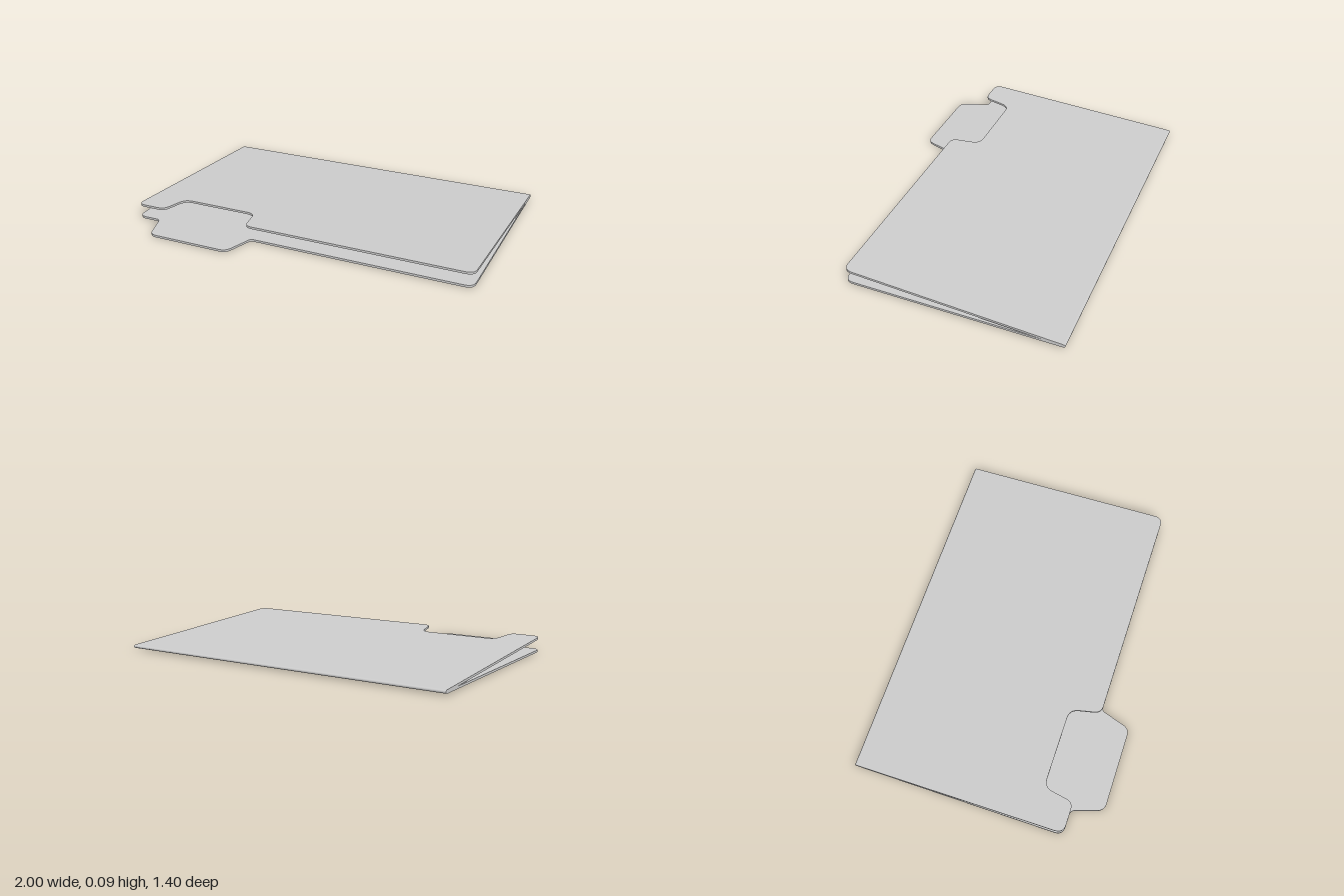
import * as THREE from 'three';

const material = new THREE.MeshStandardMaterial({ color: 0xcccccc, flatShading: true });
const THICK = 0.0125, FOLD_Z = -0.688, EDGE_Z = 0.52;

// Closed outline from [x, z, cornerRadius] points
function roundedOutline(points) {
  const shape = new THREE.Shape();
  const n = points.length;
  const v = points.map(([x, z]) => new THREE.Vector2(x, -z));
  for (let i = 0; i < n; i++) {
    const p = v[i], r = points[i][2] || 0;
    const toward = (q) => p.clone().add(q.clone().sub(p).setLength(r));
    const a = r ? toward(v[(i + n - 1) % n]) : p;
    if (i === 0) shape.moveTo(a.x, a.y);
    else shape.lineTo(a.x, a.y);
    if (r) {
      const b = toward(v[(i + 1) % n]);
      shape.quadraticCurveTo(p.x, p.y, b.x, b.y);
    }
  }
  shape.closePath();
  return shape;
}

// Card sheet whose underside rises from backY at the fold to frontY at the front edge
function sheet(name, points, backY, frontY) {
  const geo = new THREE.ExtrudeGeometry(roundedOutline(points), {
    depth: THICK, bevelEnabled: false, curveSegments: 6,
  });
  geo.rotateX(-Math.PI / 2);
  const pos = geo.attributes.position;
  for (let i = 0; i < pos.count; i++) {
    const t = (pos.getZ(i) - FOLD_Z) / (EDGE_Z - FOLD_Z);
    pos.setY(i, pos.getY(i) + backY + (frontY - backY) * t);
  }
  geo.computeVertexNormals();
  const mesh = new THREE.Mesh(geo, material);
  mesh.name = name;
  return mesh;
}

export function createModel() {
  const group = new THREE.Group();
  group.name = 'fileFolder';

  const back = [[1, FOLD_Z], [-1, FOLD_Z]];
  const left = [1, EDGE_Z, 0.05], right = [-1, EDGE_Z, 0.05];

  // Lower sheet with the projecting index tab
  group.add(sheet('lowerSheetWithTab', [
    ...back, right,
    [-0.86, EDGE_Z, 0.02], [-0.8, 0.697, 0.04],
    [-0.315, 0.697, 0.04], [-0.26, EDGE_Z, 0.02],
    left,
  ], 0.009, 0.001));

  // Raised upper sheet with the notch that reveals the tab
  group.add(sheet('upperSheetWithNotch', [
    ...back, right,
    [-0.825, EDGE_Z, 0.04], [-0.793, 0.345, 0.05],
    [-0.332, 0.345, 0.05], [-0.295, EDGE_Z, 0.04],
    left,
  ], 0.0155, 0.0755));

  // Rounded fold joining the two sheets
  const low = 0.009, high = 0.0155 + THICK, mid = (low + high) / 2;
  const profile = new THREE.Shape();
  profile.moveTo(-FOLD_Z, low);
  profile.absellipse(-FOLD_Z, mid, 0.012, (high - low) / 2, -Math.PI / 2, Math.PI / 2, false);
  profile.closePath();
  const foldGeo = new THREE.ExtrudeGeometry(profile, {
    depth: 2, bevelEnabled: false, curveSegments: 10,
  });
  foldGeo.rotateY(Math.PI / 2);
  foldGeo.translate(-1, 0, 0);
  const fold = new THREE.Mesh(foldGeo, material);
  fold.name = 'foldedSpine';
  group.add(fold);

  return group;
}
